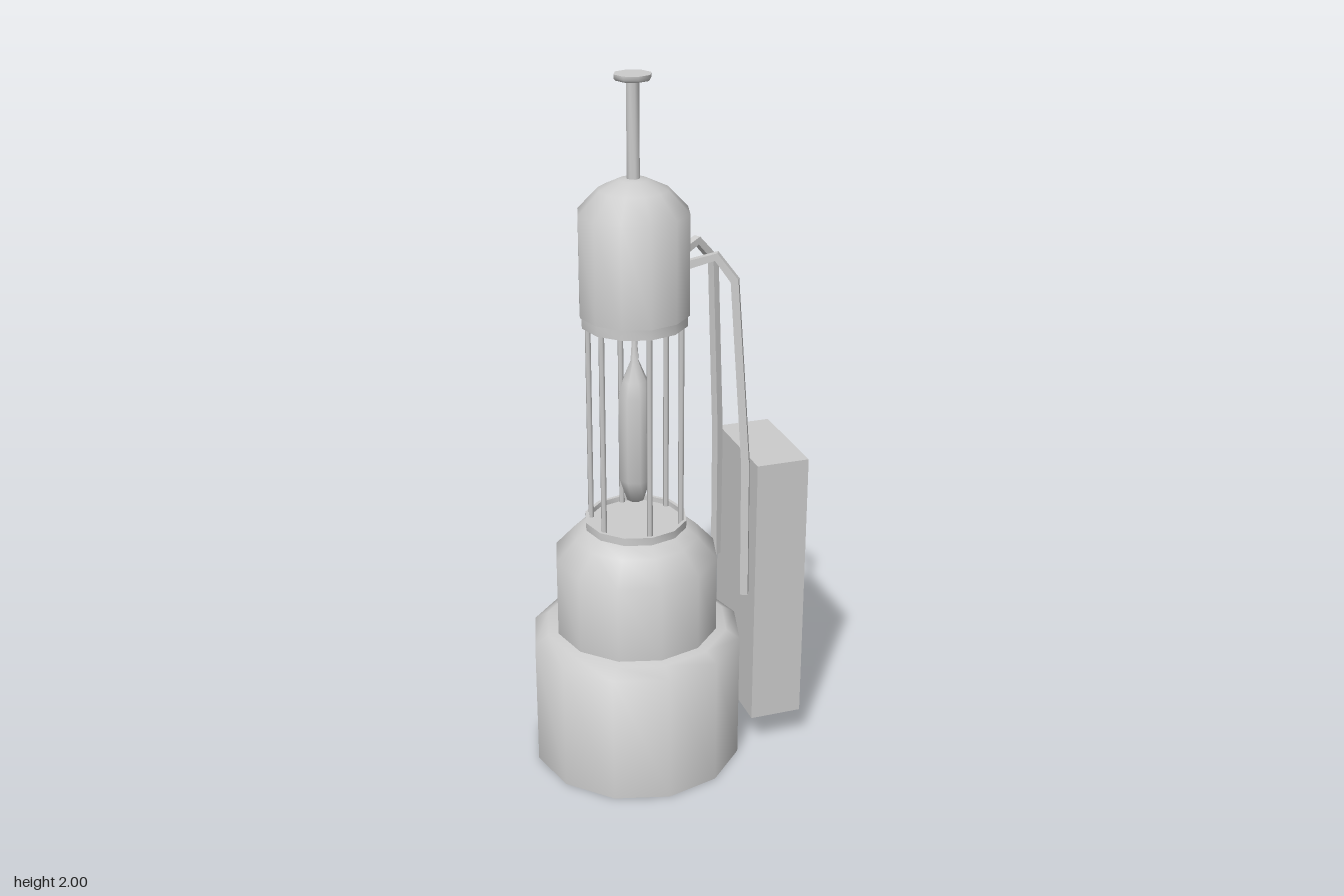
import * as THREE from 'three';
import { toCreasedNormals } from 'three/addons/utils/BufferGeometryUtils.js';

const AXIS_X = -0.08; // the column stands off-centre, beside the control box

export function createModel() {
  const model = new THREE.Group();
  model.name = 'lampApparatus';
  const grey = new THREE.MeshStandardMaterial({ color: 0xcccccc });
  grey.name = 'light grey';

  const add = (name, geometry, x = 0, y = 0, z = 0) => {
    const mesh = new THREE.Mesh(geometry, grey);
    mesh.name = name;
    mesh.position.set(x, y, z);
    model.add(mesh);
    return mesh;
  };

  // Turned part: [radius, height] profile, bottom to top along the outside
  const turned = (name, profile, sides = 12) => {
    const points = profile.map(([r, y]) => new THREE.Vector2(r, y));
    return add(name, toCreasedNormals(new THREE.LatheGeometry(points, sides), 1.2), AXIS_X);
  };

  const block = (name, x0, x1, y0, y1, z0, z1) =>
    add(name, new THREE.BoxGeometry(x1 - x0, y1 - y0, z1 - z0),
      (x0 + x1) / 2, (y0 + y1) / 2, (z0 + z1) / 2);

  // Stepped base with a rimmed collar on top
  turned('base', [[0, 0], [0.305, 0], [0.305, 0.385], [0.265, 0.41], [0, 0.41]]);
  turned('baseDome', [[0.235, 0.405], [0.235, 0.64], [0.18, 0.7], [0.145, 0.728], [0, 0.73]]);
  turned('lowerCollar', [[0.146, 0.72], [0.146, 0.75], [0.136, 0.75], [0.136, 0.735], [0, 0.735]]);

  // Upper housing with its skirt, stem and cap
  turned('upperCollar', [[0, 1.35], [0.136, 1.35], [0.136, 1.33], [0.147, 1.33], [0.147, 1.365]]);
  turned('housing', [[0, 1.36], [0.152, 1.36], [0.152, 1.64], [0.095, 1.7], [0.04, 1.726], [0, 1.73]]);
  turned('stem', [[0.018, 1.72], [0.018, 1.99]], 8);
  turned('stemCap', [[0, 1.984], [0.046, 1.984], [0.051, 1.99], [0.051, 2], [0, 2]], 8);

  // Slender bulb in the cage
  turned('bulb', [[0, 0.8], [0.025, 0.805], [0.046, 0.87], [0.047, 1.12], [0.035, 1.165],
    [0.012, 1.22], [0.007, 1.29], [0, 1.29]], 8);

  // Six cage rods
  for (let i = 0; i < 6; i++) {
    const a = (i * Math.PI) / 3;
    add('cageRod', new THREE.CylinderGeometry(0.008, 0.008, 0.63, 6),
      AXIS_X + 0.13 * Math.sin(a), 1.045, 0.13 * Math.cos(a));
  }

  // Control box with a screen and buttons on its outer face
  block('controlBox', 0.227, 0.38, 0.105, 0.925, -0.153, 0.153);
  block('screen', 0.378, 0.385, 0.595, 0.745, -0.102, 0.104);
  for (const y of [0.375, 0.427, 0.479]) block('button', 0.378, 0.385, y, y + 0.025, -0.07, -0.032);

  // Square cables bending from the housing down behind the box
  add('frontCable', cableGeometry(1, 0));
  add('rearCable', cableGeometry(-1, 0.012));

  return model;
}

// Square rings swept along a bent path, mitred at each bend
function cableGeometry(side, shift) {
  const path = [[0.06, 1.495, 0.045], [0.125, 1.52, 0.078], [0.17, 1.455, 0.1],
    [0.2, 0.93, 0.128], [0.203, 0.52, 0.132]]
    .map(([x, y, z], i) => new THREE.Vector3(x + (i > 1 ? shift : 0), y, z * side));
  const across = new THREE.Vector3(-0.45 * side, 0, 0.89).normalize();
  const half = 0.011;
  const positions = [];
  const index = [];
  path.forEach((p, i) => {
    const before = p.clone().sub(path[Math.max(i - 1, 0)]).normalize();
    const after = path[Math.min(i + 1, path.length - 1)].clone().sub(p).normalize();
    const tangent = before.add(after).normalize();
    const w = across.clone().addScaledVector(tangent, -across.dot(tangent)).normalize();
    const n = new THREE.Vector3().crossVectors(tangent, w);
    for (const [a, b] of [[-1, -1], [1, -1], [1, 1], [-1, 1]]) {
      positions.push(...p.clone().addScaledVector(w, a * half).addScaledVector(n, b * half).toArray());
    }
    if (i === 0) return;
    for (let k = 0; k < 4; k++) {
      const a = (i - 1) * 4 + k, b = (i - 1) * 4 + ((k + 1) % 4);
      index.push(a, b, b + 4, a, b + 4, a + 4);
    }
  });
  const e = (path.length - 1) * 4;
  index.push(0, 2, 1, 0, 3, 2, e, e + 1, e + 2, e, e + 2, e + 3);
  const geometry = new THREE.BufferGeometry();
  geometry.setAttribute('position', new THREE.Float32BufferAttribute(positions, 3));
  geometry.setIndex(index);
  return toCreasedNormals(geometry, 0.3);
}
